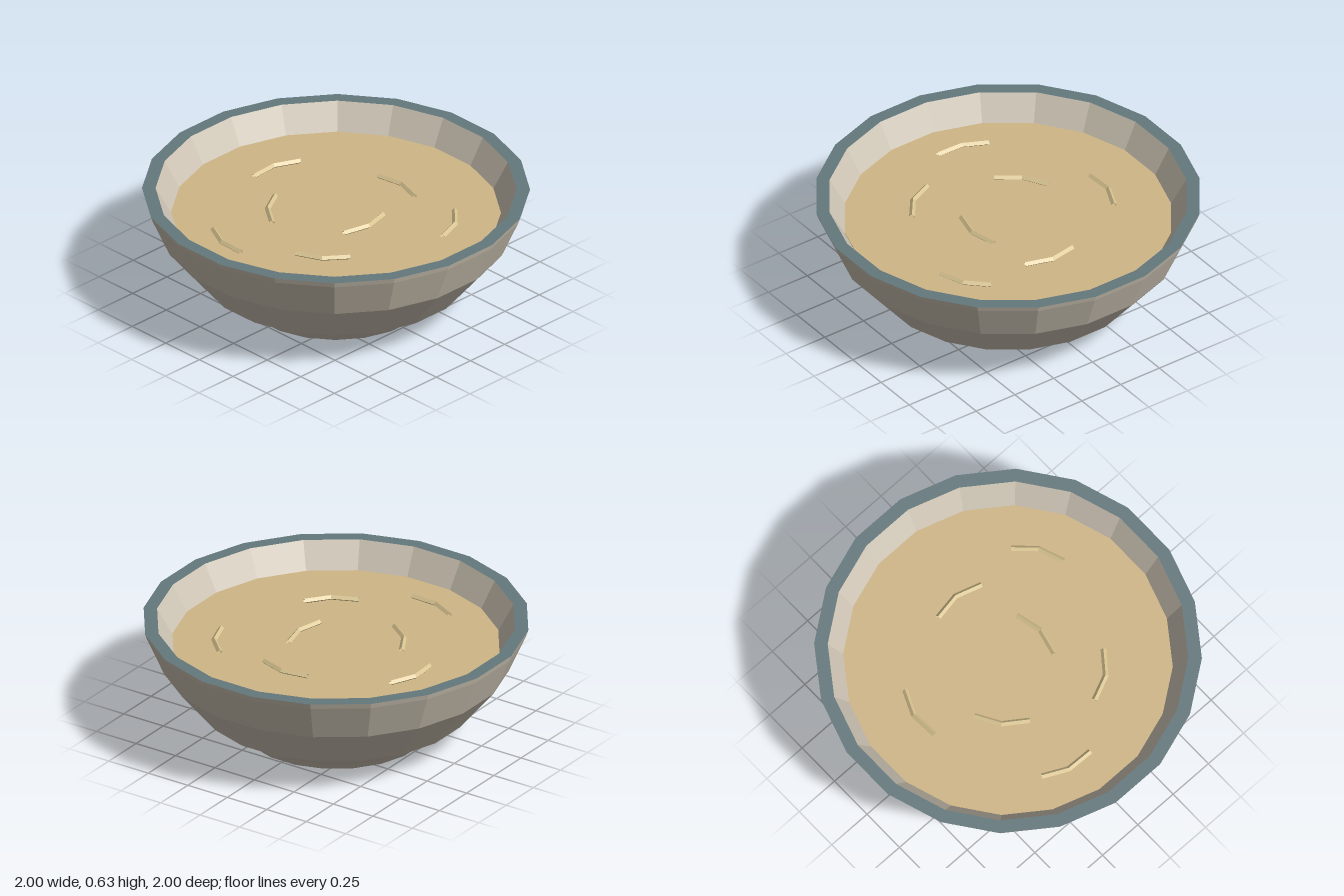
import * as THREE from 'three';

const SIDES = 20;
const SOUP_Y = 0.49;

const material = (name, color, options = {}) => {
  const m = new THREE.MeshStandardMaterial({ color, ...options });
  m.name = name;
  return m;
};

// Facet a geometry so that every face has its own flat normal
function faceted(geometry) {
  const g = geometry.toNonIndexed();
  g.computeVertexNormals();
  return g;
}

// Turn a [flat half-width, height] profile into a 20-sided ring, flats facing the axes
function turned(profile) {
  const k = 1 / Math.cos(Math.PI / SIDES);
  const points = profile.map(([r, y]) => new THREE.Vector2(r * k, y));
  return faceted(new THREE.LatheGeometry(points, SIDES, Math.PI / SIDES));
}

export function createModel() {
  const group = new THREE.Group();
  group.name = 'soupBowl';
  const ceramic = material('ceramic', 0xcfc6b6);
  const glaze = material('rimGlaze', 0x64797d);
  const broth = material('broth', 0xcfb686);
  const pasta = material('noodle', 0xd8c491, { side: THREE.DoubleSide });

  const add = (name, geometry, mat) => {
    const mesh = new THREE.Mesh(geometry, mat);
    mesh.name = name;
    group.add(mesh);
  };

  // Outer wall with its foot
  add('bowlOuter', turned([[0, 0], [0.485, 0], [0.55, 0.06], [0.705, 0.15],
    [0.9, 0.39], [0.99, 0.6], [1, 0.63]]), ceramic);

  // Flat glazed rim
  add('rim', turned([[1, 0.63], [0.93, 0.63]]), glaze);

  // Inner wall, running down below the soup
  add('bowlInner', turned([[0.93, 0.63], [0.845, 0.475], [0.6, 0.2], [0, 0.12]]), ceramic);

  // Soup with a thin visible edge
  add('soup', turned([[0.845, 0.475], [0.85, SOUP_Y], [0, SOUP_Y]]), broth);

  // Bent noodles floating on the soup: start, bend and end as x, z
  const noodles = [
    [-0.11, -0.42, 0.035, -0.445, 0.18, -0.4],
    [0.43, -0.445, 0.535, -0.345, 0.585, -0.205],
    [-0.51, -0.24, -0.572, -0.1, -0.563, 0.045],
    [0.2, -0.15, 0.235, 0, 0.2, 0.14],
    [-0.34, 0.11, -0.265, 0.24, -0.145, 0.325],
    [0.405, 0.295, 0.315, 0.41, 0.18, 0.47],
    [-0.31, 0.595, -0.18, 0.66, -0.03, 0.665],
  ];
  noodles.forEach((p, i) => {
    const points = [0, 2, 4].map((j) => new THREE.Vector3(p[j], SOUP_Y + 0.008, p[j + 1]));
    const path = new THREE.CatmullRomCurve3(points);
    add(`noodle${i + 1}`, faceted(new THREE.TubeGeometry(path, 2, 0.015, 4)), pasta);
  });

  return group;
}
